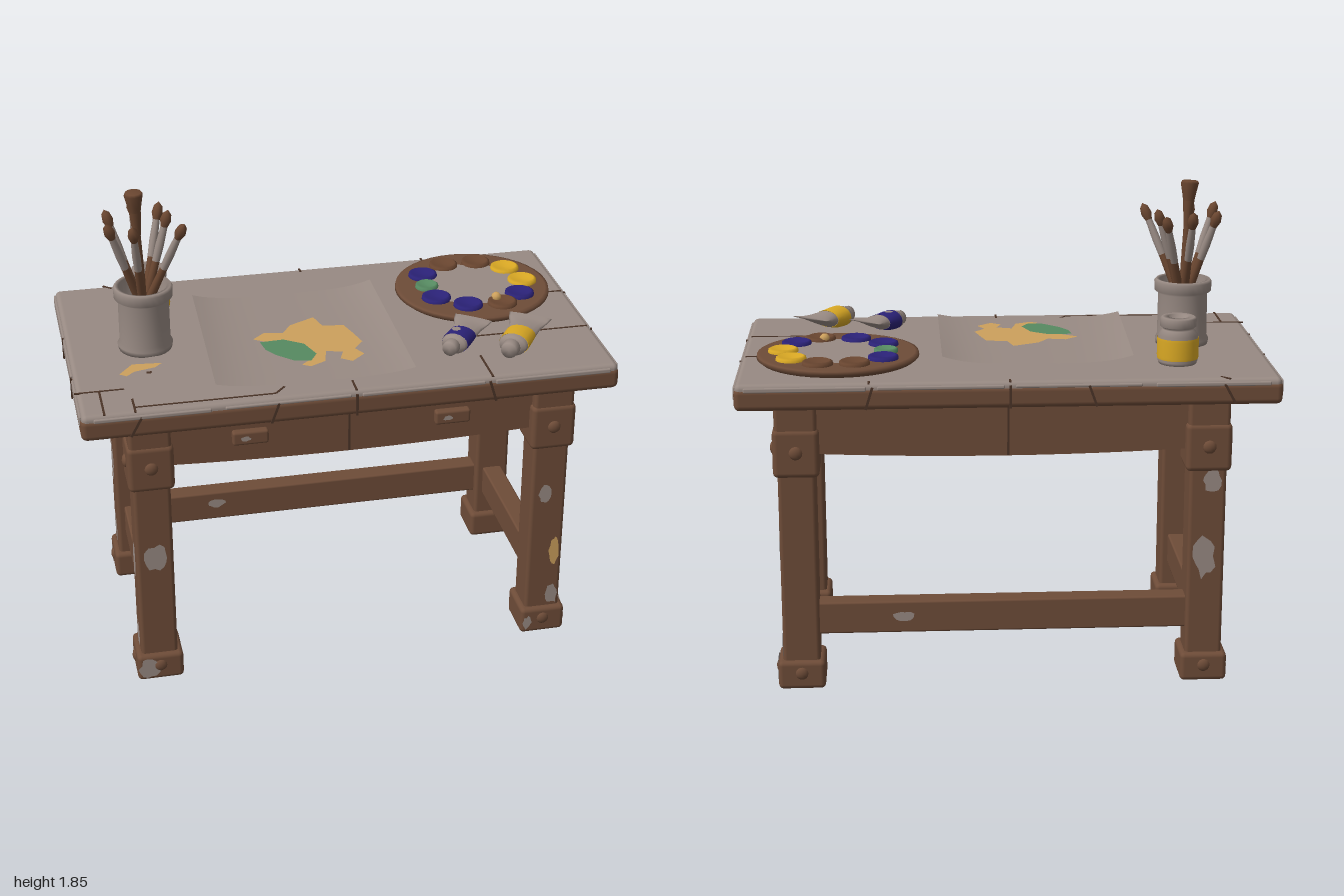
import * as THREE from 'three';
import { RoundedBoxGeometry } from 'three/addons/geometries/RoundedBoxGeometry.js';

const mat = (name, color, side = THREE.DoubleSide) => new THREE.MeshStandardMaterial({ name, color, side });
const wood = mat('wood', 0x6e4c38, THREE.FrontSide);
const darkWood = mat('dark wood', 0x4a3327);
const grey = mat('worn grey', 0x988a83);
const ochre = mat('ochre paint', 0xcca05c);
const yellow = mat('yellow paint', 0xd9a824);
const green = mat('green paint', 0x568a61);
const blue = mat('blue paint', 0x2b2278);
const bristle = mat('bristle brown', 0x6a4630);

let seed = 7;
const rand = () => (seed = (seed * 16807) % 2147483647) / 2147483647;

export function createModel() {
  const model = new THREE.Group();
  const add = (name, geo, m, x = 0, y = 0, z = 0, parent = model) => {
    const mesh = new THREE.Mesh(geo, m);
    mesh.name = name;
    mesh.position.set(x, y, z);
    parent.add(mesh);
    return mesh;
  };
  const group = (name, x, y, z) => {
    const g = new THREE.Group();
    g.name = name;
    g.position.set(x, y, z);
    model.add(g);
    return g;
  };
  const rbox = (w, h, d, r = 0.015) => new RoundedBoxGeometry(w, h, d, 2, r);
  const lathe = (pts, n = 28) => new THREE.LatheGeometry(pts.map(p => new THREE.Vector2(p[0], p[1])), n);

  // Flat blob with a wobbly outline
  const blob = (w, h, n = 14, wobble = 0.35) => new THREE.ShapeGeometry(new THREE.Shape(
    Array.from({ length: n }, (_, i) => {
      const a = i / n * Math.PI * 2, r = 0.5 * (1 - rand() * wobble);
      return new THREE.Vector2(Math.cos(a) * r * w, Math.sin(a) * r * h);
    })));
  const patch = (x, y, z, w, h, turn, m = grey) => { add('wornPatch', blob(w, h), m, x, y, z).rotation.y = turn; };

  // Flat outline on the table plane, from [x, z] points
  const flat = (pts) => new THREE.ShapeGeometry(new THREE.Shape(
    pts.map(p => new THREE.Vector2(p[0], -p[1])))).rotateX(-Math.PI / 2);

  // Tabletop
  add('tabletopCore', rbox(1.992, 0.085, 1.084, 0.022), wood, 0, 1.1625, -0.003);
  add('tabletopSurface', rbox(1.984, 0.052, 1.076, 0.02), grey, 0, 1.194, -0.003);
  for (const s of [-1, 1]) {
    [[-0.33, 0.38, 0.05], [0.03, 0.31, 0.045], [0.36, 0.29, 0.04]].forEach(([z, w, h]) =>
      add('wornEdge', rbox(0.012, h, w, 0.005), grey, s * 0.993, 1.208 - h / 2, z));
    [[-0.74, 0.42, 0.016], [-0.25, 0.46, 0.012], [0.25, 0.46, 0.014], [0.74, 0.44, 0.018]].forEach(([x, w, h]) =>
      add('wornEdge', rbox(w, h, 0.012, 0.005), grey, x, 1.209 - h / 2, s * 0.54 - 0.003));
  }
  // Plank cracks on top and around the edge
  [[-1, 0.35, -0.8, 0.35], [-0.91, 0.35, -0.91, 0.53], [-0.8, 0.35, -0.8, 0.53], [-0.8, 0.495, -0.29, 0.495],
    [-0.29, 0.495, -0.25, 0.45], [0, 0.455, 0, 0.53], [0.51, 0.36, 0.51, 0.53], [0.51, 0.2, 0.98, 0.2],
    [0.92, -0.12, 0.98, -0.12], [-0.8, -0.54, -0.77, -0.51], [0, -0.54, 0, -0.51], [0.51, -0.54, 0.51, -0.51]]
    .forEach(([x1, z1, x2, z2]) => {
      const g = new THREE.BoxGeometry(Math.hypot(x2 - x1, z2 - z1), 0.004, 0.008);
      add('topCrack', g, darkWood, (x1 + x2) / 2, 1.2195, (z1 + z2) / 2).rotation.y = -Math.atan2(z2 - z1, x2 - x1);
    });
  [[-0.8, 0.5], [-0.3, 0.35], [0, 0], [0.51, -0.3]].forEach(([x, lean]) => {
    for (const z of [0.54, -0.546]) add('edgeCrack', new THREE.BoxGeometry(0.009, 0.085, 0.006), darkWood, x, 1.165, z).rotation.z = -lean;
  });
  for (const x of [-0.998, 0.998]) for (const z of [-0.13, 0.2]) {
    add('edgeCrack', new THREE.BoxGeometry(0.006, 0.085, 0.009), darkWood, x, 1.165, z);
  }
  add('tabletopUnderside', new THREE.BoxGeometry(1.56, 0.008, 0.78), grey, 0.02, 1.116, 0);

  // Aprons with a gently bowed lower edge
  const bow = new THREE.Shape();
  bow.moveTo(-0.69, 1.13);
  bow.lineTo(-0.69, 0.92);
  bow.quadraticCurveTo(0.015, 0.885, 0.72, 0.92);
  bow.lineTo(0.72, 1.13);
  for (const z of [0.37, -0.41]) {
    add('longApron', new THREE.ExtrudeGeometry(bow, { depth: 0.04, bevelEnabled: false }), wood, 0, 0, z);
    add('apronSeam', new THREE.BoxGeometry(0.008, 0.215, 0.004), darkWood, 0, 1.012, z > 0 ? 0.411 : -0.411);
  }
  for (const x of [-0.77, 0.81]) add('sideApron', new THREE.BoxGeometry(0.04, 0.23, 0.64), wood, x, 1.015, 0);

  // Drawer handles
  for (const x of [-0.375, 0.39]) {
    add('drawerHandle', rbox(0.135, 0.055, 0.035, 0.01), wood, x, 1.015, 0.425);
    patch(x - 0.02, 1.015, 0.4435, 0.045, 0.025, 0);
  }

  // Legs with collars, feet and bolts
  const bolt = new THREE.SphereGeometry(0.026, 12, 8);
  for (const x of [-0.746, 0.784]) for (const z of [0.368, -0.368]) {
    const leg = group('leg', x, 0, z);
    const sx = Math.sign(x), sz = Math.sign(z);
    add('post', rbox(0.14, 1.1, 0.138), wood, 0, 0.57, 0, leg);
    add('upperCollar', rbox(0.156, 0.14, 0.156), wood, 0, 1.07, 0, leg);
    add('lowerCollar', rbox(0.172, 0.185, 0.17, 0.02), wood, 0, 0.93, 0, leg);
    add('foot', rbox(0.178, 0.112, 0.178, 0.018), wood, 0, 0.056, 0, leg);
    for (const [y, r] of [[0.935, 0.083], [0.065, 0.084]]) {
      add('bolt', bolt, wood, sx * r, y, 0, leg).scale.x = 0.6;
      add('bolt', bolt, wood, 0, y, sz * r, leg).scale.z = 0.6;
    }
  }

  // Stretchers
  add('backStretcher', rbox(1.42, 0.125, 0.08, 0.008), wood, 0.02, 0.267, -0.368);
  for (const x of [-0.746, 0.784]) add('sideStretcher', rbox(0.08, 0.125, 0.64, 0.008), wood, x, 0.267, 0);

  // Worn patches on legs and feet
  const R = Math.PI / 2;
  [[-0.74, 0.54, 0.439, 0.11, 0.14, 0], [-0.79, 0.055, 0.459, 0.09, 0.11, 0], [0.77, 0.63, 0.439, 0.06, 0.1, 0],
    [0.82, 0.165, 0.439, 0.06, 0.11, 0], [0.72, 0.05, 0.459, 0.04, 0.07, 0],
    [0.856, 0.58, -0.36, 0.13, 0.3, R], [0.856, 0.16, -0.368, 0.15, 0.14, R], [0.875, 0.055, -0.368, 0.19, 0.12, R],
    [0.875, 0.06, 0.385, 0.17, 0.11, R], [-0.818, 0.52, -0.36, 0.1, 0.2, -R], [-0.818, 0.2, -0.37, 0.09, 0.16, -R],
    [-0.837, 0.055, -0.39, 0.09, 0.1, -R], [-0.818, 0.5, 0.36, 0.09, 0.2, -R], [-0.818, 0.17, 0.37, 0.08, 0.12, -R],
    [-0.74, 0.5, -0.439, 0.1, 0.2, Math.PI], [-0.76, 0.8, -0.439, 0.08, 0.1, Math.PI],
    [0.4, 0.27, -0.409, 0.1, 0.05, Math.PI], [-0.4, 0.28, -0.326, 0.1, 0.05, 0], [0.826, 0.28, 0.1, 0.09, 0.04, R],
  ].forEach(p => patch(...p));
  patch(0.82, 0.37, 0.439, 0.05, 0.15, 0, ochre);

  // Curled paper with two paint splashes
  const lift = (x, z) => 1.226 + 0.042 * Math.abs((x + 0.12) / 0.37) ** 4 * (0.7 - 0.4 * z);
  const paper = new THREE.PlaneGeometry(0.72, 0.75, 20, 12).rotateX(-Math.PI / 2);
  const pp = paper.attributes.position;
  for (let i = 0; i < pp.count; i++) {
    const z = pp.getZ(i) + 0.07, x = pp.getX(i) - 0.12 - (pp.getX(i) < 0 ? 0.035 * (z + 0.1) : 0);
    pp.setXYZ(i, x, lift(x, z), z + 0.01 * x);
  }
  paper.computeVertexNormals();
  add('paper', paper, grey);
  const splashes = [
    ['ochreSplash', ochre, 0.005, [[-0.3, 0.08], [-0.25, 0.035], [-0.18, 0.05], [-0.14, -0.01], [-0.04, -0.06], [-0.02, 0.02],
      [0.06, 0.03], [0.08, 0.1], [0.1, 0.18], [0.06, 0.23], [0.085, 0.28], [0.03, 0.33], [-0.01, 0.3], [0.01, 0.25],
      [-0.05, 0.23], [-0.07, 0.31], [-0.13, 0.34], [-0.16, 0.32], [-0.1, 0.27], [-0.2, 0.15]]],
    ['greenSplash', green, 0.008, [[-0.28, 0.115], [-0.19, 0.11], [-0.12, 0.16], [-0.09, 0.25], [-0.12, 0.3],
      [-0.18, 0.29], [-0.24, 0.23], [-0.27, 0.18]]]];
  for (const [name, m, dy, pts] of splashes) {
    add(name, flat(pts), m, 0, 1.229 + dy, 0);
    add(name + 'Below', flat(pts.map(([x, z]) => [-x, z])), m, 0, 1.1125 - dy * 0.3, -0.03);
  }

  // Small card
  add('card', flat([[-0.858, 0.147], [-0.58, 0.115], [-0.553, 0.372], [-0.805, 0.44]]), grey, 0, 1.226, 0);
  add('cardSplash', flat([[-0.825, 0.25], [-0.77, 0.18], [-0.66, 0.19], [-0.69, 0.22], [-0.77, 0.24], [-0.8, 0.27]]), ochre, 0, 1.229, 0);
  add('cardSpot', blob(0.03, 0.02).rotateX(-R), darkWood, -0.715, 1.229, 0.255);

  // Brush pot
  const px = -0.7, pz = 0.022;
  add('brushPot', lathe([[0, 0], [0.1, 0], [0.104, 0.02], [0.096, 0.035], [0.095, 0.2], [0.109, 0.21], [0.111, 0.245],
    [0.104, 0.255], [0.09, 0.252], [0.085, 0.04], [0, 0.04]]), grey, px, 1.22, pz);
  add('potShadowFloor', new THREE.CircleGeometry(0.084, 24).rotateX(-R), darkWood, px, 1.4, pz);

  // Brushes leaning outward, the last one wide and flat
  [[-0.83, 1.76, 0.1], [-0.55, 1.75, 0.13], [-0.71, 1.76, -0.155], [-0.61, 1.74, -0.12], [-0.82, 1.75, -0.06],
    [-0.59, 1.75, -0.01], [-0.74, 1.76, 0.15], [-0.72, 1.85, 0.04]].forEach(([x, y, z], i) => {
    const wide = i === 7;
    const base = new THREE.Vector3(px - (x - px) * 0.25, 1.27, pz - (z - pz) * 0.25);
    const dir = new THREE.Vector3(x, y, z).sub(base), L = dir.length();
    const brush = group('brush', base.x, base.y, base.z);
    brush.quaternion.setFromUnitVectors(new THREE.Vector3(0, 1, 0), dir.normalize());
    const s = wide ? 0.7 : 0.6;
    add('handle', lathe([[0, 0], [0.012, 0.01], [0.016, L * 0.4], [0.014, L * s]], 10), bristle, 0, 0, 0, brush);
    if (wide) {
      add('ferrule', lathe([[0.014, L * 0.7], [0.022, L * 0.87]], 12), bristle, 0, 0, 0, brush);
      add('bristles', lathe([[0.022, L * 0.87], [0.026, L * 0.91], [0.035, L * 0.985], [0.03, L], [0, L]], 12), bristle, 0, 0, 0, brush);
    } else {
      add('ferrule', lathe([[0.0145, L * s], [0.016, L * 0.72], [0.013, L * 0.87]], 10), grey, 0, 0, 0, brush);
      add('bristles', lathe([[0.013, L * 0.87], [0.021, L * 0.92], [0.016, L * 0.97], [0, L]], 10), bristle, 0, 0, 0, brush);
    }
  });

  // Paint jar with label band
  const jar = group('paintJar', -0.64, 1.22, -0.293);
  add('jarBody', lathe([[0, 0], [0.07, 0], [0.075, 0.012], [0.075, 0.11], [0.058, 0.13], [0.058, 0.138], [0.068, 0.142],
    [0.068, 0.172], [0.06, 0.177], [0.038, 0.177], [0.036, 0.14], [0, 0.14]]), grey, 0, 0, 0, jar);
  add('jarLabel', lathe([[0.077, 0.02], [0.078, 0.03], [0.078, 0.09], [0.077, 0.1]]), yellow, 0, 0, 0, jar);

  // Palette with paint wells
  const palette = group('palette', 0.628, 1.225, -0.183);
  add('paletteBoard', lathe([[0, 0], [0.29, 0], [0.305, 0.012], [0.303, 0.025], [0.29, 0.028], [0, 0.026]], 40), wood, 0, 0, 0, palette);
  add('paletteWear', blob(0.42, 0.4, 26, 0.14).rotateX(-R), grey, -0.005, 0.03, 0, palette);
  const wells = [[-0.17, -0.12, blue], [-0.18, -0.015, green], [-0.17, 0.095, blue], [-0.065, 0.18, blue], [0.07, 0.19, bristle],
    [0.16, 0.12, blue], [0.205, 0.005, yellow], [0.17, -0.12, yellow], [0.07, -0.195, bristle], [-0.065, -0.195, bristle]];
  for (const [x, z, m] of wells) {
    const r = m === green ? 0.8 : 1;
    add('paintWell', lathe([[0.058 * r, 0], [0.056 * r, 0.012], [0.046 * r, 0.017], [0.036 * r, 0.008], [0, 0.006]], 18), m, x, 0.027, z, palette);
  }
  add('ochreDab', new THREE.SphereGeometry(0.02, 10, 6), ochre, 0.055, 0.04, 0.155, palette);

  // Elliptical loft along z from rings of [z, half width, half height, centre y]
  const loft = (rings, n = 16) => {
    const pos = [], idx = [];
    rings.forEach(([z, w, h, y], i) => {
      for (let j = 0; j < n; j++) {
        const a = j / n * Math.PI * 2;
        pos.push(Math.cos(a) * w, y + Math.sin(a) * h, z);
        if (!i) continue;
        const p = (i - 1) * n, q = i * n, k = (j + 1) % n;
        idx.push(p + j, p + k, q + j, p + k, q + k, q + j);
      }
    });
    const g = new THREE.BufferGeometry();
    g.setAttribute('position', new THREE.Float32BufferAttribute(pos, 3));
    g.setIndex(idx);
    g.computeVertexNormals();
    return g;
  };

  // Paint tubes: cap, shoulder, coloured label and crimped end
  for (const [name, m, x, z, dx, dz, k] of [['bluePaintTube', blue, 0.39, 0.355, 0.145, -0.185, 0.93],
    ['yellowPaintTube', yellow, 0.6, 0.42, 0.14, -0.2, 1.02]]) {
    const tube = group(name, x, 1.22, z);
    tube.rotation.y = Math.atan2(dx, dz);
    tube.scale.setScalar(k);
    add('cap', loft([[0, 0, 0, 0.04], [0, 0.03, 0.03, 0.04], [0.035, 0.033, 0.033, 0.04], [0.036, 0.02, 0.02, 0.04]]), grey, 0, 0, 0, tube);
    add('shoulder', loft([[0.034, 0.024, 0.024, 0.04], [0.042, 0.05, 0.038, 0.04], [0.06, 0.055, 0.04, 0.041]]), grey, 0, 0, 0, tube);
    add('label', loft([[0.06, 0.056, 0.041, 0.041], [0.1, 0.056, 0.04, 0.042], [0.145, 0.056, 0.033, 0.045]]), m, 0, 0, 0, tube);
    add('crimp', loft([[0.145, 0.055, 0.032, 0.045], [0.19, 0.06, 0.02, 0.052], [0.23, 0.076, 0.006, 0.062],
      [0.255, 0.082, 0.004, 0.068], [0.255, 0, 0, 0.068]]), grey, 0, 0, 0, tube);
    if (m === blue) add('labelChip', blob(0.04, 0.05).rotateX(-R), grey, 0.012, 0.084, 0.1, tube);
  }
  return model;
}
